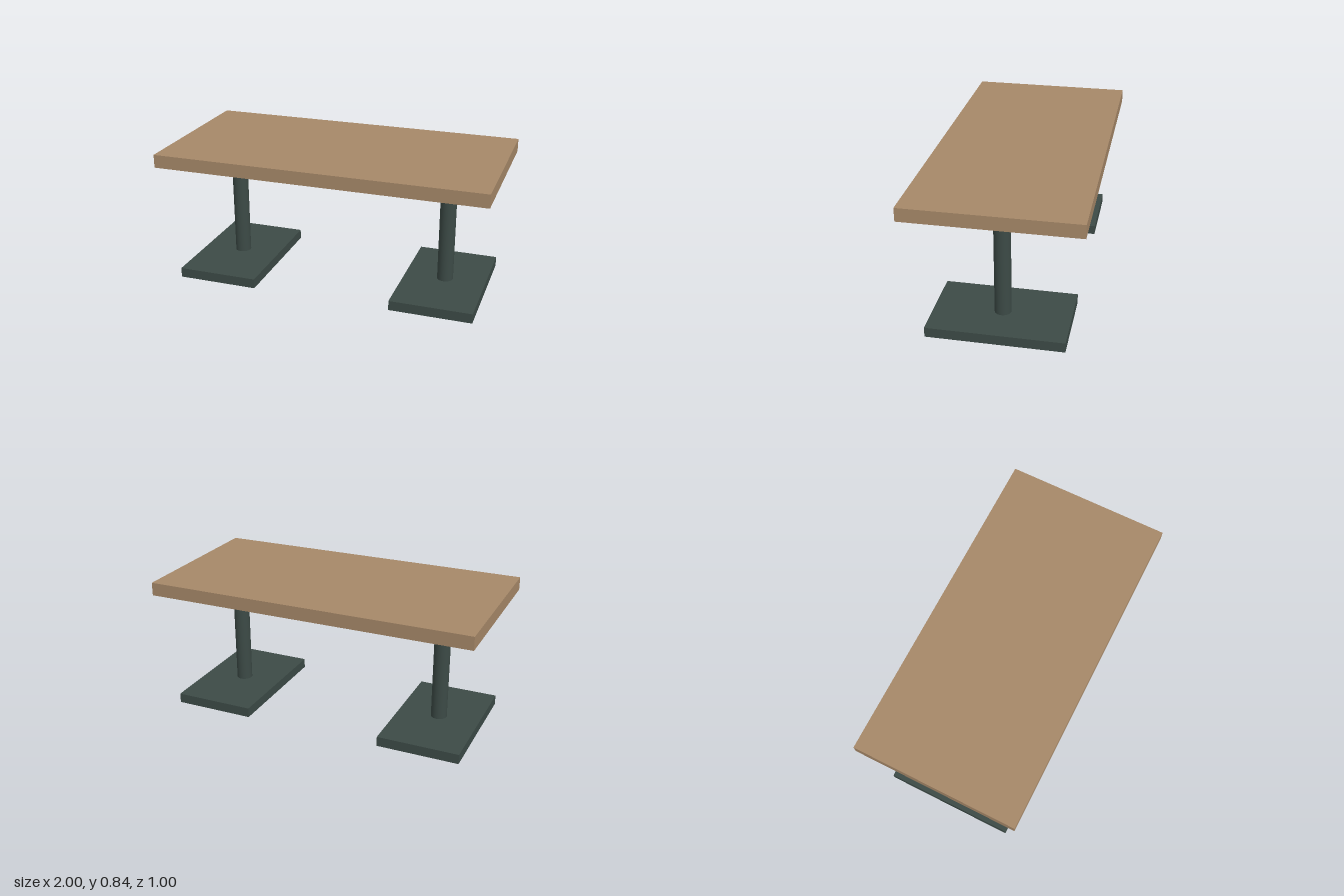
import * as THREE from 'three';

const wood = new THREE.MeshStandardMaterial({ name: 'wood', color: 0xa68868 });
const darkMetal = new THREE.MeshStandardMaterial({ name: 'darkGreenMetal', color: 0x3c4a46 });

function addPart(parent, name, geometry, material, y) {
  const mesh = new THREE.Mesh(geometry, material);
  mesh.name = name;
  mesh.position.y = y;
  parent.add(mesh);
}

export function createModel() {
  const table = new THREE.Group();
  table.name = 'table';

  // Thick rectangular slab
  addPart(table, 'tabletop', new THREE.BoxGeometry(2, 0.08, 1), wood, 0.8);

  // Two pedestals, each a flat foot plate with a round column
  const plate = new THREE.BoxGeometry(0.5, 0.06, 0.8);
  const column = new THREE.CylinderGeometry(0.049, 0.049, 0.7, 32);
  for (const side of [-1, 1]) {
    const pedestal = new THREE.Group();
    pedestal.name = side > 0 ? 'leftPedestal' : 'rightPedestal';
    pedestal.position.x = side * 0.68;
    addPart(pedestal, 'footPlate', plate, darkMetal, 0.03);
    addPart(pedestal, 'column', column, darkMetal, 0.41);
    table.add(pedestal);
  }
  return table;
}
